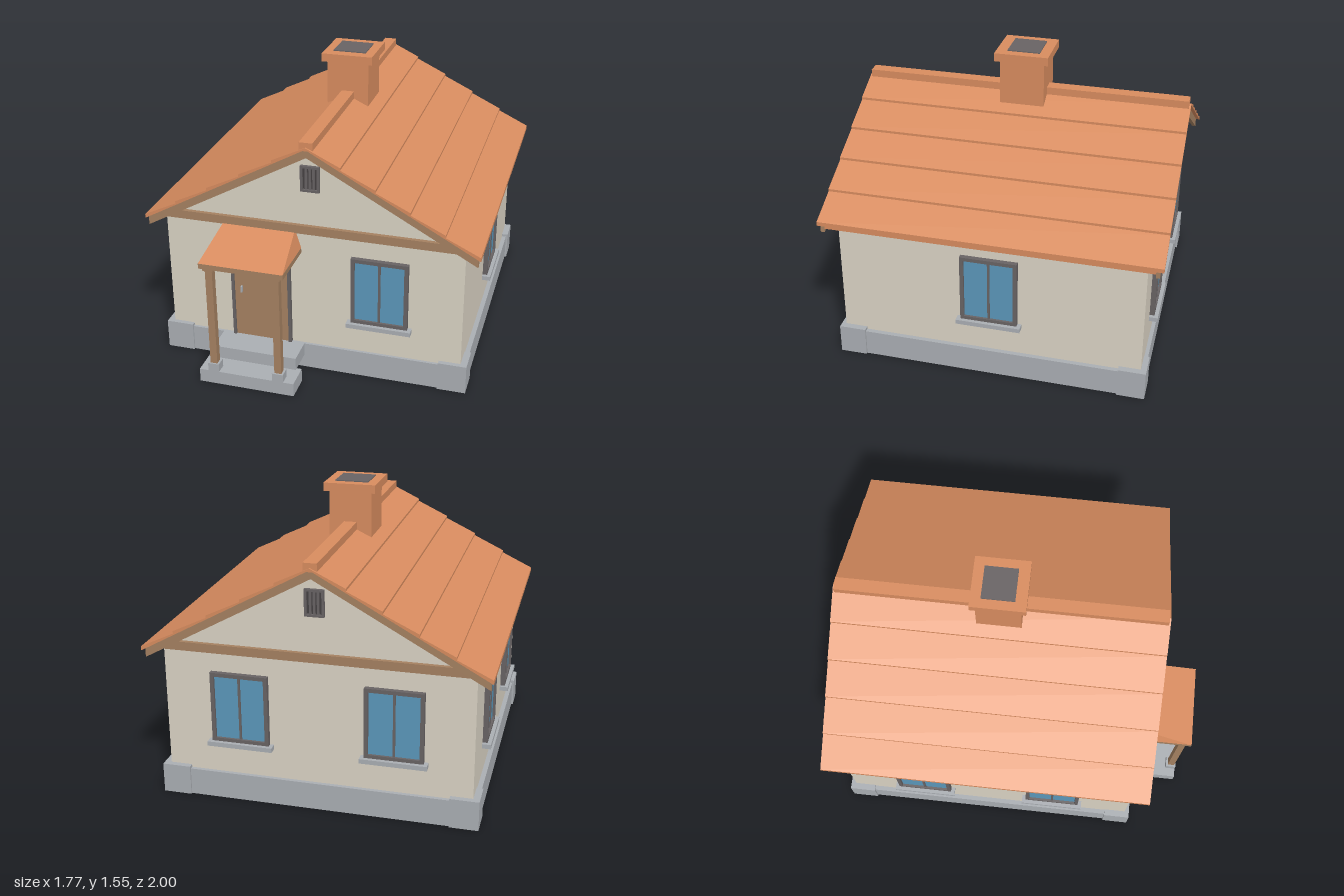
import * as THREE from 'three';
import { ConvexGeometry } from 'three/addons/geometries/ConvexGeometry.js';

const material = (name, color) => {
  const m = new THREE.MeshStandardMaterial({ color });
  m.name = name;
  return m;
};

export function createModel() {
  const plaster = material('plaster', 0xdad3c4);
  const stone = material('stone', 0xaaaeb3);
  const tile = material('clay tile', 0xd88c5f);
  const wood = material('wood', 0xa58161);
  const glass = material('glass', 0x5b97ba);
  const dark = material('dark frame', 0x686364);
  const shade = material('vent shade', 0x454142);

  const house = new THREE.Group();
  house.name = 'house';
  const midZ = -0.11;          // middle of the walls
  const frontZ = 0.7, backZ = -0.915;
  const pitch = 0.552;         // roof slope

  const add = (parent, name, geometry, mat) => {
    const mesh = new THREE.Mesh(geometry, mat);
    mesh.name = name;
    parent.add(mesh);
    return mesh;
  };
  // box given by its limits
  const box = (parent, name, mat, x0, x1, y0, y1, z0, z1) => {
    const mesh = add(parent, name, new THREE.BoxGeometry(x1 - x0, y1 - y0, z1 - z0), mat);
    mesh.position.set((x0 + x1) / 2, (y0 + y1) / 2, (z0 + z1) / 2);
    return mesh;
  };
  // outline in x, y drawn out from z0 to z1
  const prism = (name, mat, points, z0, z1) => {
    const shape = new THREE.Shape(points.map(([x, y]) => new THREE.Vector2(x, y)));
    const geometry = new THREE.ExtrudeGeometry(shape, { depth: z1 - z0, bevelEnabled: false });
    return add(house, name, geometry.translate(0, 0, z0), mat);
  };

  // foundation with slightly proud corner blocks
  box(house, 'foundation', stone, -0.825, 0.825, 0, 0.145, -0.935, 0.715);
  for (const s of [-1, 1]) {
    for (const [z0, z1] of [[0.58, 0.725], [-0.945, -0.8]]) {
      box(house, 'cornerBlock', stone, Math.min(s * 0.835, s * 0.685), Math.max(s * 0.835, s * 0.685), 0, 0.16, z0, z1);
    }
  }

  // walls with both gables
  prism('walls', plaster, [[-0.8, 0.14], [0.8, 0.14], [0.8, 0.84], [0, 1.283], [-0.8, 0.84]], backZ, frontZ);

  // chevron following the roof pitch, from low to high at the ridge
  const chevron = (name, mat, low, high, half, z0, z1) => prism(name, mat, [
    [-half, low - pitch * half], [0, low], [half, low - pitch * half],
    [half, high - pitch * half], [0, high], [-half, high - pitch * half],
  ], z0, z1);
  chevron('roofDeck', tile, 1.279, 1.309, 0.872, -0.96, 0.745);
  chevron('frontBargeboard', wood, 1.258, 1.309, 0.872, 0.745, 0.767);
  chevron('backBargeboard', wood, 1.258, 1.309, 0.872, -0.98, -0.96);

  // overlapping tile courses, thicker at the lower edge
  const courses = 5, eave = 0.885;
  for (const s of [-1, 1]) {
    for (let i = 0; i < courses; i++) {
      const xo = eave * (1 - i / courses), xi = eave * (1 - (i + 1) / courses);
      const yo = 1.307 - pitch * xo, yi = 1.307 - pitch * xi;
      prism('tileCourse', tile, [
        [s * xo, yo], [s * xo, yo + 0.022], [s * xi, yi + 0.009], [s * xi, yi],
      ], -1, 0.78);
    }
  }
  box(house, 'ridgeCap', tile, -0.035, 0.035, 1.295, 1.34, -0.99, 0.77);

  // chimney
  box(house, 'chimney', tile, -0.115, 0.115, 1.23, 1.51, -0.23, 0.01);
  box(house, 'chimneyCap', tile, -0.14, 0.14, 1.505, 1.55, -0.255, 0.035);
  box(house, 'flue', dark, -0.09, 0.09, 1.54, 1.555, -0.2, -0.025);

  // group on a wall: local +z points out of the wall
  const onWall = (name, x, z, turn) => {
    const g = new THREE.Group();
    g.name = name;
    g.position.set(x, 0, z);
    g.rotation.y = turn;
    house.add(g);
    return g;
  };
  const frame = (g, w, y0, y1, t, depth) => {
    for (const s of [-1, 1]) {
      const c = s * (w - t / 2);
      box(g, 'frameSide', dark, c - t / 2, c + t / 2, y0, y1, -0.01, depth);
    }
    box(g, 'frameTop', dark, -w + t, w - t, y1 - t, y1, -0.01, depth);
  };

  // windows
  const addWindow = (x, z, turn) => {
    const g = onWall('window', x, z, turn);
    frame(g, 0.151, 0.33, 0.707, 0.02, 0.026);
    box(g, 'frameBottom', dark, -0.131, 0.131, 0.33, 0.348, -0.01, 0.026);
    box(g, 'mullion', dark, -0.006, 0.006, 0.348, 0.687, -0.01, 0.02);
    for (const s of [-1, 1]) box(g, 'pane', glass, s * 0.0685 - 0.0625, s * 0.0685 + 0.0625, 0.348, 0.687, 0.004, 0.013);
    box(g, 'sill', stone, -0.172, 0.172, 0.306, 0.33, -0.01, 0.046);
  };
  addWindow(0.365, frontZ, 0);
  for (const s of [-1, 1]) {
    addWindow(s * 0.4, backZ, Math.PI);
    addWindow(-0.8, midZ + s * 0.37, -Math.PI / 2);
  }
  addWindow(0.8, midZ, Math.PI / 2);

  // gable trim and vents, front and back
  for (const [z, turn] of [[frontZ, 0], [backZ, Math.PI]]) {
    const g = onWall('gableTrim', 0, z, turn);
    box(g, 'friezeBoard', wood, -0.805, 0.805, 0.812, 0.858, -0.01, 0.022);
    box(g, 'ventBack', shade, -0.045, 0.045, 1.055, 1.185, -0.01, 0.006);
    frame(g, 0.05, 1.05, 1.19, 0.012, 0.018);
    box(g, 'ventBottom', dark, -0.038, 0.038, 1.05, 1.062, -0.01, 0.018);
    for (const x of [-0.02, 0, 0.02]) box(g, 'ventSlat', dark, x - 0.006, x + 0.006, 1.062, 1.178, 0, 0.014);
  }

  // door
  const door = onWall('door', -0.28, frontZ, 0);
  frame(door, 0.165, 0.145, 0.71, 0.016, 0.022);
  box(door, 'doorLeaf', wood, -0.149, 0.149, 0.145, 0.694, -0.01, 0.012);
  box(door, 'doorHandle', stone, -0.112, -0.104, 0.415, 0.45, 0.012, 0.028);

  // porch steps
  box(house, 'upperStep', stone, -0.505, -0.045, 0.075, 0.145, 0.7, 0.865);
  box(house, 'lowerStep', stone, -0.537, -0.018, 0, 0.075, 0.848, 0.99);

  // porch posts with stone feet and small capitals
  for (const x of [-0.458, -0.104]) {
    box(house, 'postFoot', stone, x - 0.03, x + 0.03, 0.07, 0.12, 0.932, 0.99);
    box(house, 'porchPost', wood, x - 0.019, x + 0.019, 0.12, 0.68, 0.943, 0.981);
    box(house, 'postCapital', wood, x - 0.028, x + 0.028, 0.675, 0.695, 0.934, 0.99);
  }

  // porch roof with sloping front and sides
  box(house, 'porchFascia', wood, -0.504, -0.056, 0.692, 0.72, 0.69, 1);
  const hip = [
    [-0.504, 0.72, 0.695], [-0.056, 0.72, 0.695], [-0.504, 0.72, 1], [-0.056, 0.72, 1],
    [-0.473, 0.822, 0.7], [-0.087, 0.822, 0.7],
  ].map((p) => new THREE.Vector3(...p));
  add(house, 'porchRoof', new ConvexGeometry(hip), tile);

  return house;
}
